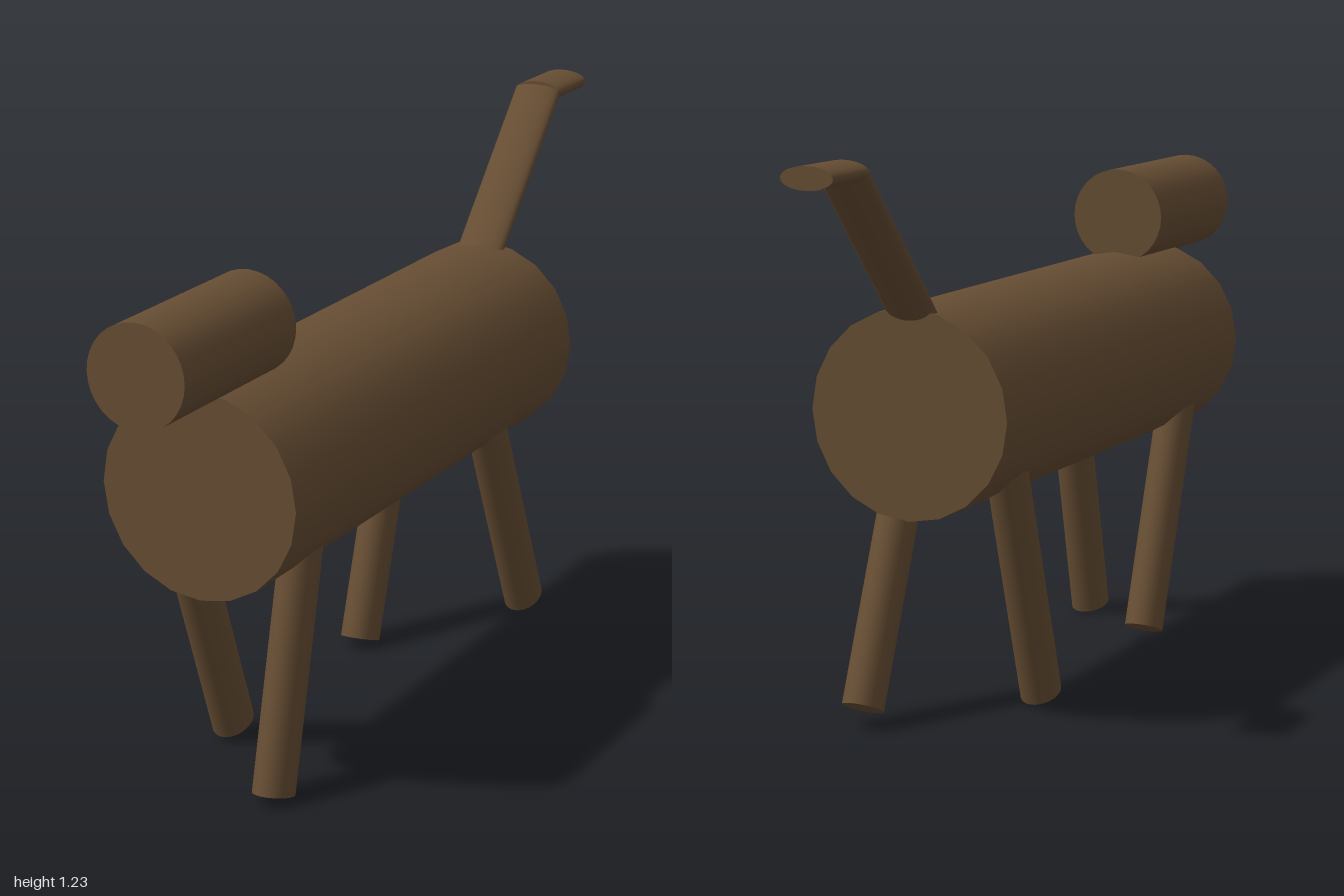
import * as THREE from 'three';

const material = new THREE.MeshStandardMaterial({ color: 0x664d33 });

// Elliptical rod in a plane of constant x, running from [y, z] to [y, z].
function rod(name, x, [y0, z0], [y1, z1], rx, rz, sides = 32) {
  const dy = y1 - y0, dz = z1 - z0;
  const geometry = new THREE.CylinderGeometry(1, 1, Math.hypot(dy, dz), sides);
  geometry.scale(rx, 1, rz);
  geometry.rotateX(Math.atan2(dz, dy));
  const mesh = new THREE.Mesh(geometry, material);
  mesh.name = name;
  mesh.position.set(x, (y0 + y1) / 2, (z0 + z1) / 2);
  return mesh;
}

export function createModel() {
  const group = new THREE.Group();
  group.name = 'animal';

  // Barrel body and head
  group.add(rod('body', 0, [0.68, -0.56], [0.68, 0.78], 0.223, 0.223, 20));
  group.add(rod('head', -0.007, [0.988, 0.553], [0.988, 1], 0.11, 0.11));

  // Legs in mid-stride: name, x, foot, hip
  const legs = [
    ['frontLeftLeg', 0.117, [0.02, 0.692], [0.6, 0.545]],
    ['frontRightLeg', -0.131, [0.036, 0.424], [0.6, 0.645]],
    ['rearLeftLeg', 0.117, [0.045, -0.547], [0.6, -0.298]],
    ['rearRightLeg', -0.131, [0.021, -0.177], [0.6, -0.378]],
  ];
  for (const [name, x, foot, hip] of legs) group.add(rod(name, x, foot, hip, 0.043, 0.054));

  // Flattened tail: raised part and level tip
  group.add(rod('tailBase', 0, [0.84, -0.49], [1.208, -0.85], 0.057, 0.024));
  group.add(rod('tailTip', 0, [1.206, -0.845], [1.206, -1], 0.057, 0.024));

  return group;
}
